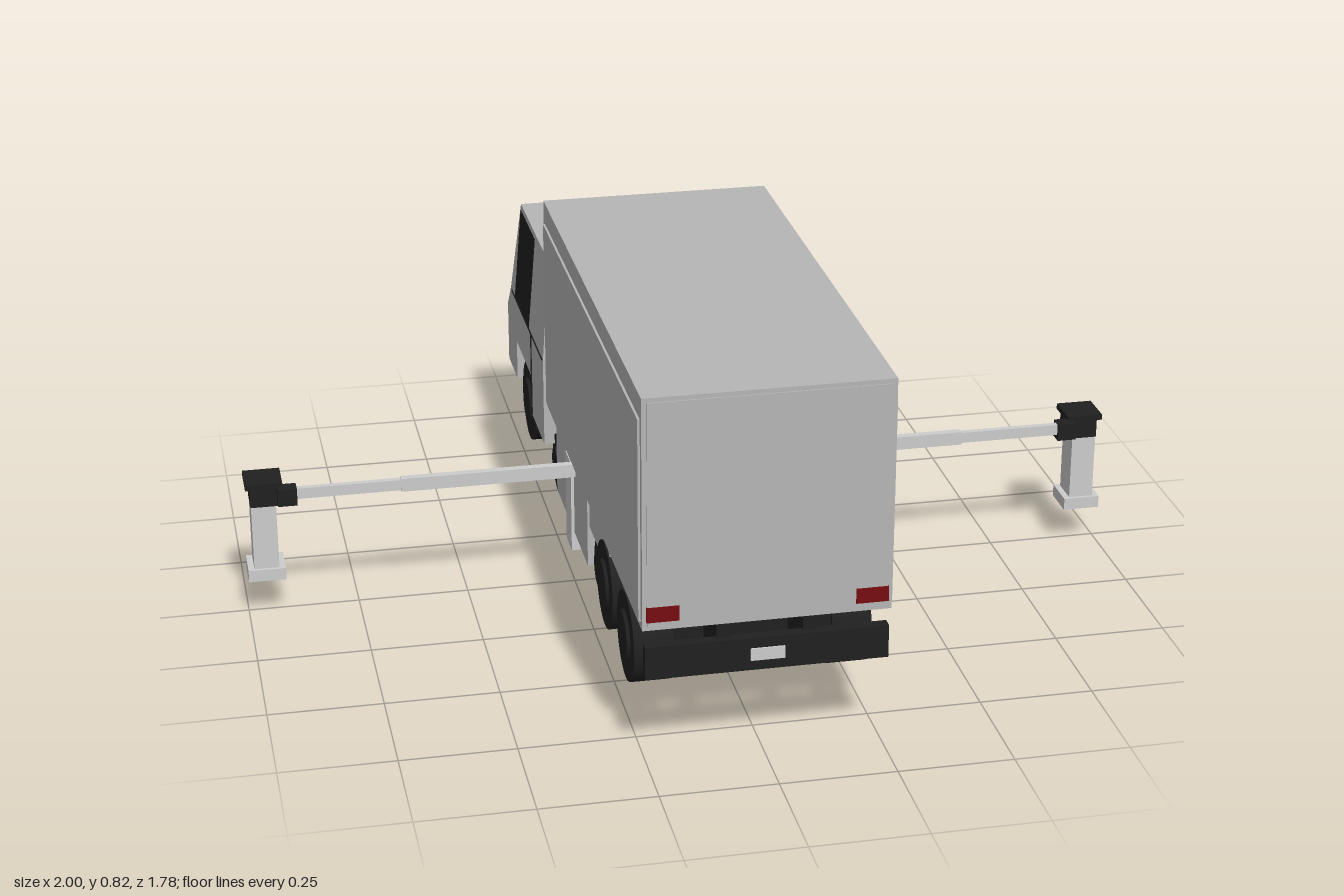
import * as THREE from 'three';

const mat = (name, color, extra = {}) => Object.assign(new THREE.MeshStandardMaterial({ color, ...extra }), { name });

export function createModel() {
  const root = new THREE.Group();
  root.name = 'truck';
  const body = mat('bodyGrey', 0xb6b6b6);
  const pale = mat('paleGrey', 0xcccccc);
  const dark = mat('black', 0x202020);
  const red = mat('lampRed', 0x750d10);
  const brown = mat('woodBrown', 0x7d5c3c);

  const add = (name, geo, m, parent = root) => {
    const mesh = new THREE.Mesh(geo, m);
    mesh.name = name;
    parent.add(mesh);
    return mesh;
  };
  // Box given by its minimum and maximum on each axis
  const box = (name, m, x0, x1, y0, y1, z0, z1, parent = root) => {
    const mesh = add(name, new THREE.BoxGeometry(x1 - x0, y1 - y0, z1 - z0), m, parent);
    mesh.position.set((x0 + x1) / 2, (y0 + y1) / 2, (z0 + z1) / 2);
    return mesh;
  };
  // Flat four-cornered plate, corners counter-clockwise from outside
  const quad = (name, m, corners) => {
    const g = new THREE.BufferGeometry();
    g.setAttribute('position', new THREE.Float32BufferAttribute(corners.flat(), 3));
    g.setIndex([0, 1, 2, 0, 2, 3]);
    g.computeVertexNormals();
    return add(name, g, m);
  };

  // Cargo box with raised side panels and rear door
  box('cargoBox', body, -0.26, 0.26, 0.315, 0.825, -0.305, 0.88);
  for (const s of [-1, 1]) {
    const x = s * 0.262;
    box('sidePanel', body, x - 0.003, x + 0.003, 0.33, 0.775, -0.285, 0.865);
    box('tailLamp', red, s * 0.218 - 0.034, s * 0.218 + 0.034, 0.335, 0.368, 0.878, 0.886);
  }
  box('rearDoor', body, -0.25, 0.25, 0.325, 0.815, 0.877, 0.883);

  // Cab lower body: side profile with wheel arches, extruded across
  const profile = [[-0.325, 0.205], [-0.325, 0.42], [-0.82, 0.42], [-0.88, 0.355], [-0.88, 0.205],
    [-0.74, 0.205], [-0.74, 0.305], [-0.51, 0.305], [-0.51, 0.205]];
  const cabShape = new THREE.Shape(profile.map(([z, y]) => new THREE.Vector2(-z, y)));
  const cabGeo = new THREE.ExtrudeGeometry(cabShape, { depth: 0.53, bevelEnabled: false });
  cabGeo.rotateY(Math.PI / 2);
  cabGeo.translate(-0.265, 0, 0);
  add('cabLower', cabGeo, body);
  box('wheelArch', dark, -0.2, 0.2, 0.2, 0.304, -0.739, -0.511);

  // Cab upper body tapers towards the roof
  const upper = new THREE.BoxGeometry(0.53, 0.24, 0.495);
  const p = upper.attributes.position;
  for (let i = 0; i < p.count; i++) {
    const top = p.getY(i) > 0, front = p.getZ(i) < 0;
    p.setXYZ(i, Math.sign(p.getX(i)) * (top ? 0.245 : 0.265), top ? 0.66 : 0.42,
      front ? (top ? -0.755 : -0.82) : (top ? -0.34 : -0.325));
  }
  upper.computeVertexNormals();
  add('cabUpper', upper, body);

  // Windows lie just outside the tapered faces
  const sideX = y => 0.268 - 0.02 * (y - 0.42) / 0.24;
  const frontZ = y => -0.823 + 0.065 * (y - 0.42) / 0.24;
  for (const s of [-1, 1]) {
    const c = [[-0.52, 0.425], [-0.74, 0.425], [-0.74, 0.652], [-0.52, 0.652]]
      .map(([z, y]) => [s * sideX(y), y, z]);
    quad('sideWindow', dark, s > 0 ? c : c.reverse());
    box('doorSeam', dark, s * 0.266 - 0.0015, s * 0.266 + 0.0015, 0.21, 0.42, -0.503, -0.499);
    box('cabStep', dark, s * 0.266 - 0.0015, s * 0.266 + 0.0015, 0.418, 0.421, -0.8, -0.33);
  }
  quad('windscreen', dark, [[0.25, 0.428, frontZ(0.428)], [-0.25, 0.428, frontZ(0.428)],
    [-0.233, 0.65, frontZ(0.65)], [0.233, 0.65, frontZ(0.65)]]);
  box('frontBumper', dark, -0.25, 0.25, 0.215, 0.285, -0.887, -0.87);
  box('frontPlate', pale, -0.035, 0.035, 0.235, 0.26, -0.89, -0.886);
  for (const s of [-1, 1]) box('bonnetSlot', dark, s * 0.2 - 0.04, s * 0.2 + 0.04, 0.318, 0.323, -0.882, -0.878);
  box('cabConnector', dark, -0.19, 0.19, 0.25, 0.4, -0.33, -0.3);

  // Chassis rails and rear bumper
  for (const s of [-1, 1]) box('chassisRail', dark, s * 0.09 - 0.014, s * 0.09 + 0.014, 0.21, 0.318, -0.5, 0.87);
  box('axleHousing', dark, -0.17, 0.17, 0.2, 0.29, 0.33, 0.74);
  box('rearBumper', dark, -0.255, 0.255, 0.205, 0.278, 0.86, 0.884);
  box('rearPlate', pale, -0.036, 0.036, 0.228, 0.255, 0.883, 0.888);
  for (const s of [-1, 1]) box('mudPanel', body, s * 0.235 - 0.015, s * 0.235 + 0.015, 0.235, 0.316, 0.21, 0.46);

  // Inner support carriage
  box('equipmentBay', body, -0.255, 0.255, 0.14, 0.318, -0.205, 0.21);
  box('carriageBed', dark, -0.18, 0.18, 0.17, 0.24, -0.36, 0.46);
  box('carriageNose', body, -0.2, 0.2, 0.14, 0.205, -0.455, -0.33);
  box('noseUpper', body, -0.2, 0.2, 0.2, 0.3, -0.4, -0.33);
  box('carriageFrontBumper', dark, -0.18, 0.18, 0.15, 0.185, -0.464, -0.45);
  box('carriageFrontPlate', pale, -0.03, 0.03, 0.158, 0.178, -0.467, -0.463);
  box('carriageRearBumper', dark, -0.2, 0.2, 0.14, 0.19, 0.45, 0.464);
  box('carriageRearPlate', pale, -0.035, 0.035, 0.153, 0.178, 0.463, 0.467);
  for (const s of [-1, 1]) box('carriageLamp', red, s * 0.14 - 0.035, s * 0.14 + 0.035, 0.195, 0.215, 0.45, 0.458);

  // Wheels with a shallow hub disc
  const wheel = (s, y, z, r, outer, width) => {
    const g = new THREE.Group();
    g.name = 'wheel';
    const tyre = add('tyre', new THREE.CylinderGeometry(r, r, width, 28), dark, g);
    const hub = add('hub', new THREE.CylinderGeometry(r * 0.55, r * 0.6, 0.008, 20), dark, g);
    hub.position.y = -width / 2 - 0.003;
    hub.rotation.x = Math.PI;
    tyre.position.y = 0;
    g.rotation.z = s * Math.PI / 2;
    g.position.set(s * (outer - width / 2), y, z);
    root.add(g);
  };
  for (const s of [-1, 1]) {
    for (const z of [-0.625, 0.415, 0.66]) wheel(s, 0.193, z, 0.098, 0.254, 0.085);
    for (const z of [-0.285, 0.285]) wheel(s, 0.168, z, 0.073, 0.24, 0.06);
  }

  // Outrigger arms with hanging leg columns
  for (const s of [-1, 1]) {
    const g = new THREE.Group();
    g.name = 'outrigger';
    const sx = (name, m, a, b, ...r) => box(name, m, Math.min(s * a, s * b), Math.max(s * a, s * b), ...r, g);
    sx('armInner', pale, 0.2, 0.65, 0.29, 0.321, 0.042, 0.06);
    sx('armOuter', pale, 0.65, 0.9, 0.293, 0.318, 0.044, 0.058);
    sx('armJoint', dark, 0.882, 0.925, 0.28, 0.32, 0.03, 0.064);
    sx('legHead', dark, 0.92, 0.985, 0.27, 0.315, -0.036, 0.036);
    sx('legCap', dark, 0.912, 0.995, 0.315, 0.328, -0.042, 0.042);
    sx('legColumn', pale, 0.928, 0.984, 0.115, 0.272, -0.034, 0.034);
    sx('legFoot', pale, 0.914, 0.998, 0.09, 0.118, -0.042, 0.042);
    sx('footRecess', body, 0.93, 0.982, 0.087, 0.092, -0.028, 0.028);
    if (s < 0) {
      sx('controlBox', pale, 0.94, 0.975, 0.18, 0.225, -0.07, -0.034);
      sx('controlHead', dark, 0.93, 0.985, 0.275, 0.31, -0.07, -0.034);
    }
    root.add(g);
  }

  // Side mast and lower guide plates
  box('mast', pale, 0.262, 0.284, 0.1, 0.592, -0.008, 0.008);
  box('mastGuide', pale, 0.25, 0.284, 0.095, 0.315, -0.035, 0.035);
  box('guidePlate', pale, -0.262, -0.235, 0.095, 0.315, -0.035, 0.035);

  // Central ground foot under the bay
  box('footMount', pale, -0.1, 0.1, 0.1, 0.142, -0.08, 0.085);
  for (const s of [-1, 1]) {
    box('footStrut', dark, s * 0.05 - 0.008, s * 0.05 + 0.008, 0.092, 0.104, -0.108, 0.07);
    box('footBrace', dark, s * 0.06 - 0.045, s * 0.06 + 0.045, 0.09, 0.102, s * 0.03 - 0.006, s * 0.03 + 0.006);
  }
  box('footHead', dark, -0.03, 0.03, 0.052, 0.09, -0.014, 0.014);
  box('footStem', pale, -0.01, 0.01, 0.05, 0.105, -0.02, 0.02);
  box('footBlock', brown, -0.009, 0.009, 0.008, 0.066, -0.035, 0.035);
  for (const z of [-0.039, 0.039]) box('footEdge', dark, -0.011, 0.011, 0, 0.072, z - 0.004, z + 0.004);
  box('footSole', dark, -0.011, 0.011, 0, 0.008, -0.04, 0.04);

  return root;
}
